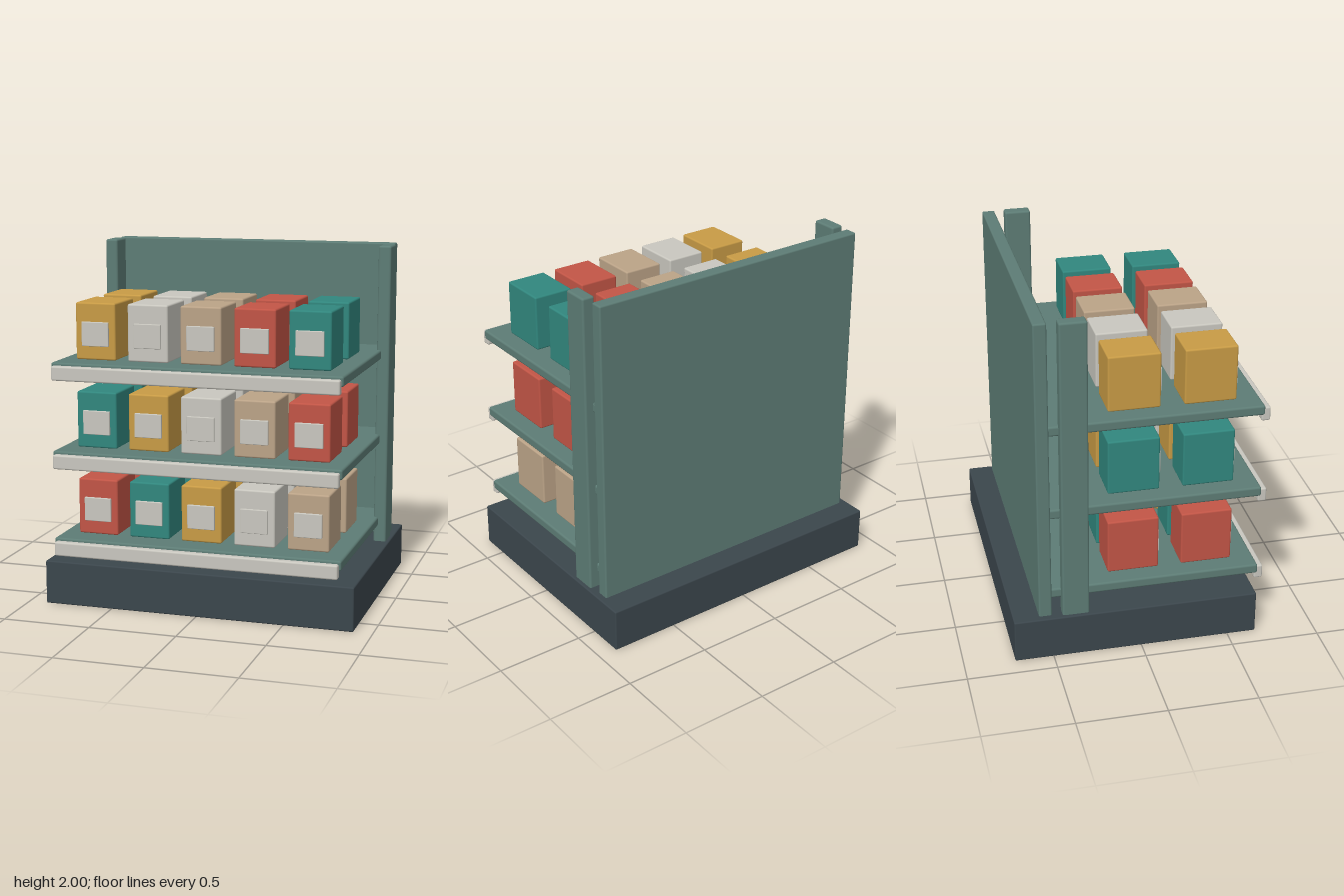
import * as THREE from 'three';
import { RoundedBoxGeometry } from 'three/addons/geometries/RoundedBoxGeometry.js';

function material(name, color) {
  const m = new THREE.MeshStandardMaterial({ color });
  m.name = name;
  return m;
}

export function createModel() {
  const model = new THREE.Group();
  model.name = 'shelfDisplay';

  const green = material('sage green', 0x5d7c75);
  const slate = material('dark slate', 0x3b464c);
  const pale = material('pale grey', 0xc9c7bf);
  const yellow = material('mustard yellow', 0xc89b45);
  const tan = material('tan', 0xbba387);
  const red = material('red', 0xc25546);
  const teal = material('teal', 0x31877e);

  // Softly bevelled block given by its min and max along each axis
  function block(parent, name, mat, [x0, x1], [y0, y1], [z0, z1], bevel = 0.01) {
    const geo = new RoundedBoxGeometry(x1 - x0, y1 - y0, z1 - z0, 2, bevel);
    const mesh = new THREE.Mesh(geo, mat);
    mesh.name = name;
    mesh.position.set((x0 + x1) / 2, (y0 + y1) / 2, (z0 + z1) / 2);
    parent.add(mesh);
    return mesh;
  }

  // Base and back
  block(model, 'base', slate, [-0.895, 0.895], [0, 0.25], [-0.717, 0.663], 0.008);
  block(model, 'backPanel', green, [-0.858, 0.858], [0.24, 2], [-0.573, -0.5]);

  // Side uprights
  for (const [side, name] of [[-1, 'rightUpright'], [1, 'leftUpright']]) {
    const x = side * 0.838;
    block(model, name, green, [x - 0.037, x + 0.037], [0.24, 2], [-0.443, -0.292], 0.012);
  }

  // Shelves with price rails, each holding two rows of five cartons
  const colours = [yellow, pale, tan, red, teal];
  const shelfTops = [1.397, 0.897, 0.397];
  shelfTops.forEach((top, level) => {
    const tier = new THREE.Group();
    tier.name = 'shelfTier' + (level + 1);
    model.add(tier);
    block(tier, 'shelf', green, [-0.827, 0.827], [top - 0.057, top], [-0.51, 0.685], 0.012);
    block(tier, 'priceRail', pale, [-0.815, 0.815], [top - 0.097, top - 0.016], [0.669, 0.719]);

    for (let i = 0; i < 5; i++) {
      const x = (i - 2) * 0.306;
      const mat = colours[(i - level + 5) % 5];
      for (const front of [0.552, 0.132]) {
        const y = top + 0.003;
        block(tier, 'carton', mat, [x - 0.117, x + 0.117], [y, y + 0.319], [front - 0.29, front]);
        // Blank label on the carton face
        block(tier, 'cartonLabel', pale, [x - 0.079, x + 0.079],
          [y + 0.077, y + 0.213], [front - 0.006, front + 0.013], 0.004);
      }
    }
  });

  return model;
}
